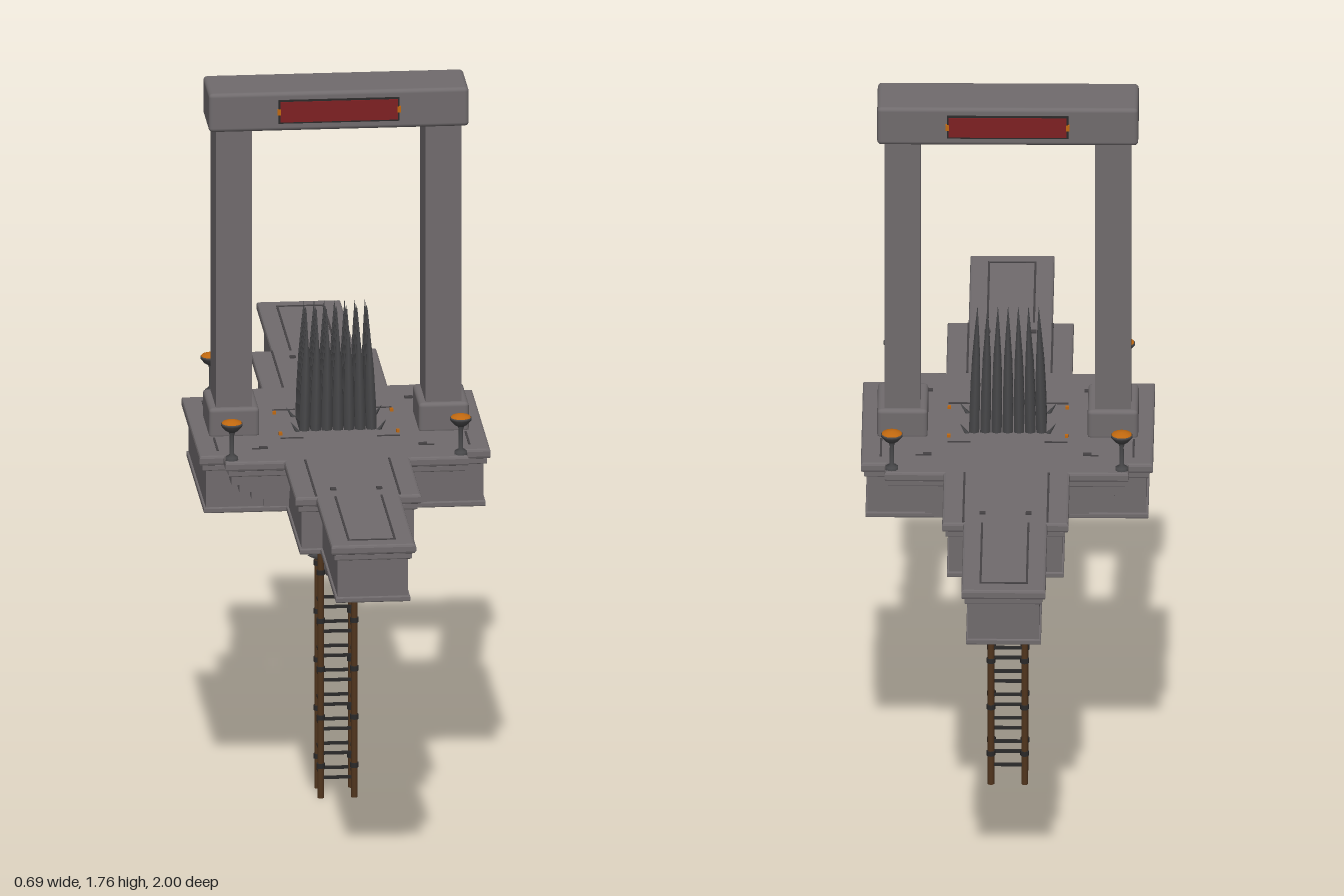
import * as THREE from 'three';
import { RoundedBoxGeometry } from 'three/addons/geometries/RoundedBoxGeometry.js';

const mat = (name, color, side = THREE.FrontSide) => {
  const m = new THREE.MeshStandardMaterial({ color, side });
  m.name = name;
  return m;
};

export function createModel() {
  const root = new THREE.Group();
  root.name = 'gateTower';
  const stone = mat('stone', 0x706b6d);
  const groove = mat('darkStone', 0x454244);
  const iron = mat('iron', 0x48484a);
  const rung = mat('darkIron', 0x2b2a2a);
  const rust = mat('rustyBrown', 0x52361e);
  const red = mat('red', 0x7d2022);
  const ember = mat('emberOrange', 0xc0680f);

  const add = (name, geo, material, x = 0, y = 0, z = 0, parent = root) => {
    const m = new THREE.Mesh(geo, material);
    m.name = name;
    m.position.set(x, y, z);
    parent.add(m);
    return m;
  };
  const box = (name, w, h, d, material, x, y, z, parent) =>
    add(name, new THREE.BoxGeometry(w, h, d), material, x, y, z, parent);
  const lathe = (pts, n) =>
    new THREE.LatheGeometry(pts.map(p => new THREE.Vector2(p[0], p[1])), n);
  const signs = [-1, 1];
  const corners = fn => signs.forEach(sx => signs.forEach(sz => fn(sx, sz)));

  // Stepped cross-shaped slab: steps are [half width, half length], longest arm first
  const slab = (name, steps, inset, y0, y1, bevel) => {
    const q = [];
    steps.forEach(([w, l], i) => {
      q.push([w - inset, l - inset]);
      q.push([w - inset, (i + 1 < steps.length ? steps[i + 1][1] : l) - inset]);
    });
    q.pop();
    const r = [...q].reverse();
    const loop = [
      ...r, ...q.map(([x, z]) => [-x, z]),
      ...r.map(([x, z]) => [-x, -z]), ...q.map(([x, z]) => [x, -z]),
    ];
    const shape = new THREE.Shape(loop.map(p => new THREE.Vector2(p[0], p[1])));
    const geo = new THREE.ExtrudeGeometry(shape, {
      depth: y1 - y0 - 2 * bevel, bevelEnabled: bevel > 0, bevelThickness: bevel,
      bevelSize: bevel, bevelOffset: -bevel, bevelSegments: 2,
    });
    geo.rotateX(-Math.PI / 2);
    add(name, geo, stone, 0, y0 + bevel, 0);
  };
  const deck = [[0.1, 1], [0.15, 0.6], [0.29, 0.3], [0.347, 0.245]];
  const body = [[0.1, 1], [0.15, 0.6], [0.347, 0.245]];
  slab('deckTop', deck, 0, 0.893, 0.917, 0.006);
  slab('deckLip', deck, 0.008, 0.878, 0.895, 0.003);
  slab('platformBody', body, 0.016, 0.776, 0.88, 0);
  slab('platformFoot', body, 0.011, 0.772, 0.786, 0.003);

  // Stepped corbels in the inner corners, carrying the braziers
  corners((sx, sz) => {
    [[0.275, 0.287], [0.255, 0.275], [0.225, 0.262], [0.195, 0.25]].forEach(([x, z], i) => {
      box('corbelStep', x - 0.1, 0.022, z - 0.2, stone,
        sx * (x + 0.1) / 2, 0.868 - i * 0.022, sz * (z + 0.2) / 2);
    });
  });

  // Inlaid lines and studs on the deck
  const line = (x0, z0, x1, z1) => box('deckInlay', Math.abs(x1 - x0) + 0.005, 0.003,
    Math.abs(z1 - z0) + 0.005, groove, (x0 + x1) / 2, 0.9175, (z0 + z1) / 2);
  signs.forEach(s => {
    line(-0.055, s * 0.955, 0.055, s * 0.955);
    signs.forEach(sx => {
      line(sx * 0.055, s * 0.6, sx * 0.055, s * 0.955);
      line(sx * 0.1, s * 0.3, sx * 0.1, s * 0.59);
      line(sx * 0.3, s * 0.1, sx * 0.3, s * 0.2);
      line(sx * 0.2, s * 0.195, sx * 0.215, s * 0.195);
      line(sx * 0.09, s * 0.115, sx * 0.14, s * 0.115);
      box('deckStud', 0.014, 0.006, 0.014, groove, sx * 0.055, 0.918, s * 0.54);
      box('deckStud', 0.02, 0.006, 0.012, groove, sx * 0.19, 0.918, s * 0.19);
    });
  });

  // Gate: two pillars, their bases and the beam with red panels
  signs.forEach(s => {
    add('pillarBase', new RoundedBoxGeometry(0.12, 0.075, 0.17, 2, 0.01), stone, s * 0.25, 0.948, 0);
    box('pillar', 0.086, 0.74, 0.144, stone, s * 0.25, 1.32, 0);
    box('beamPanelFrame', 0.288, 0.058, 0.006, rung, 0, 1.718, s * 0.081);
    box('beamPanel', 0.28, 0.05, 0.008, red, 0, 1.718, s * 0.083);
    signs.forEach(sx => box('panelClasp', 0.008, 0.014, 0.009, ember, sx * 0.143, 1.718, s * 0.083));
  });
  add('beam', new RoundedBoxGeometry(0.62, 0.096, 0.16, 2, 0.01), stone, 0, 1.717, 0);

  // Bed of tall spikes
  const spikes = new THREE.Group();
  spikes.name = 'spikes';
  root.add(spikes);
  const spikeGeo = lathe([[0.014, 0], [0.0135, 0.08], [0.011, 0.16], [0.006, 0.23], [0.0005, 0.293]], 6);
  for (let i = 0; i < 7; i++) {
    for (let j = 0; j < 5; j++) {
      const x = (i - 3) / 3, z = (j - 2) / 2;
      const s = add('spike', spikeGeo, iron, x * 0.08, 0.915, z * 0.05, spikes);
      s.rotation.set(-z * 0.02, 0, x * 0.025);
      s.scale.y = 1 - 0.04 * ((i * 3 + j * 2) % 3) * Math.abs(z);
    }
  }
  // Short thorns around the spike bed
  corners((sx, sz) => {
    const t = add('thorn', new THREE.ConeGeometry(0.006, 0.035, 5), iron, sx * 0.105, 0.928, sz * 0.06);
    t.rotation.z = -sx * 0.6;
    box('thornEmber', 0.008, 0.008, 0.008, ember, sx * 0.14, 0.92, sz * 0.085);
  });

  // Four braziers
  const postGeo = lathe([[0.016, 0], [0.015, 0.008], [0.006, 0.014], [0.005, 0.06], [0.009, 0.072]], 10);
  const bowlGeo = lathe([[0.006, 0], [0.016, 0.006], [0.026, 0.018], [0.026, 0.023], [0.021, 0.025]], 14);
  const emberGeo = lathe([[0.0255, 0], [0.022, 0.005], [0.01, 0.009], [0, 0.01]], 14);
  corners((sx, sz) => {
    const b = new THREE.Group();
    b.name = 'brazier';
    b.position.set(sx * 0.273, 0.916, sz * 0.275);
    root.add(b);
    add('brazierPost', postGeo, iron, 0, 0, 0, b);
    add('brazierBowl', bowlGeo, iron, 0, 0.068, 0, b);
    add('brazierEmber', emberGeo, ember, 0, 0.09, 0, b);
  });

  // Lattice mast: four legs with rungs on each face
  const mast = new THREE.Group();
  mast.name = 'mast';
  root.add(mast);
  const legGeo = new THREE.CylinderGeometry(0.008, 0.008, 0.775, 8);
  const clampGeo = new THREE.CylinderGeometry(0.0105, 0.0105, 0.012, 8);
  corners((sx, sz) => {
    add('mastLeg', legGeo, rust, sx * 0.04, 0.3875, sz * 0.04, mast);
    for (let y = 0.08; y < 0.76; y += 0.12)
      add('legClamp', clampGeo, rung, sx * 0.04, y, sz * 0.04, mast);
  });
  for (let i = 0; i < 8; i++) {
    const y = 0.05 + i * 0.0605;
    signs.forEach(s => {
      box('rungAcross', 0.08, 0.007, 0.006, rung, 0, y, s * 0.04, mast);
      box('rungAlong', 0.006, 0.007, 0.08, rung, s * 0.04, y, 0, mast);
    });
  }
  [0.685, 0.715].forEach(y => signs.forEach(s => {
    box('mastBandAcross', 0.096, 0.014, 0.012, rust, 0, y, s * 0.04, mast);
    box('mastBandAlong', 0.012, 0.014, 0.096, rust, s * 0.04, y, 0, mast);
  }));

  // Collar and hanging weight inside the mast head
  add('mastCollar', lathe([[0, 0.665], [0.014, 0.67], [0.018, 0.69], [0.034, 0.72], [0.048, 0.735],
    [0.052, 0.765], [0.052, 0.776]], 16), iron);
  add('weightLink', new THREE.CylinderGeometry(0.01, 0.01, 0.05, 8), iron, 0, 0.66, 0);
  const weight = add('weight', new THREE.SphereGeometry(0.06, 20, 14), stone, 0, 0.592, 0);
  weight.scale.set(0.75, 1, 0.75);
  add('weightCap', lathe([[0.03, 0.635], [0.03, 0.646], [0.012, 0.655]], 12), iron);
  for (let i = 0; i < 4; i++) {
    const a = i * Math.PI / 2;
    const stud = add('weightStud', new THREE.ConeGeometry(0.015, 0.03, 8), iron,
      Math.cos(a) * 0.054, 0.59, Math.sin(a) * 0.054);
    stud.rotation.set(0, -a, -Math.PI / 2, 'YXZ');
    add('weightRivet', new THREE.SphereGeometry(0.006, 8, 6), rung,
      Math.cos(a) * 0.044, 0.605, Math.sin(a) * 0.044);
  }
  return root;
}
